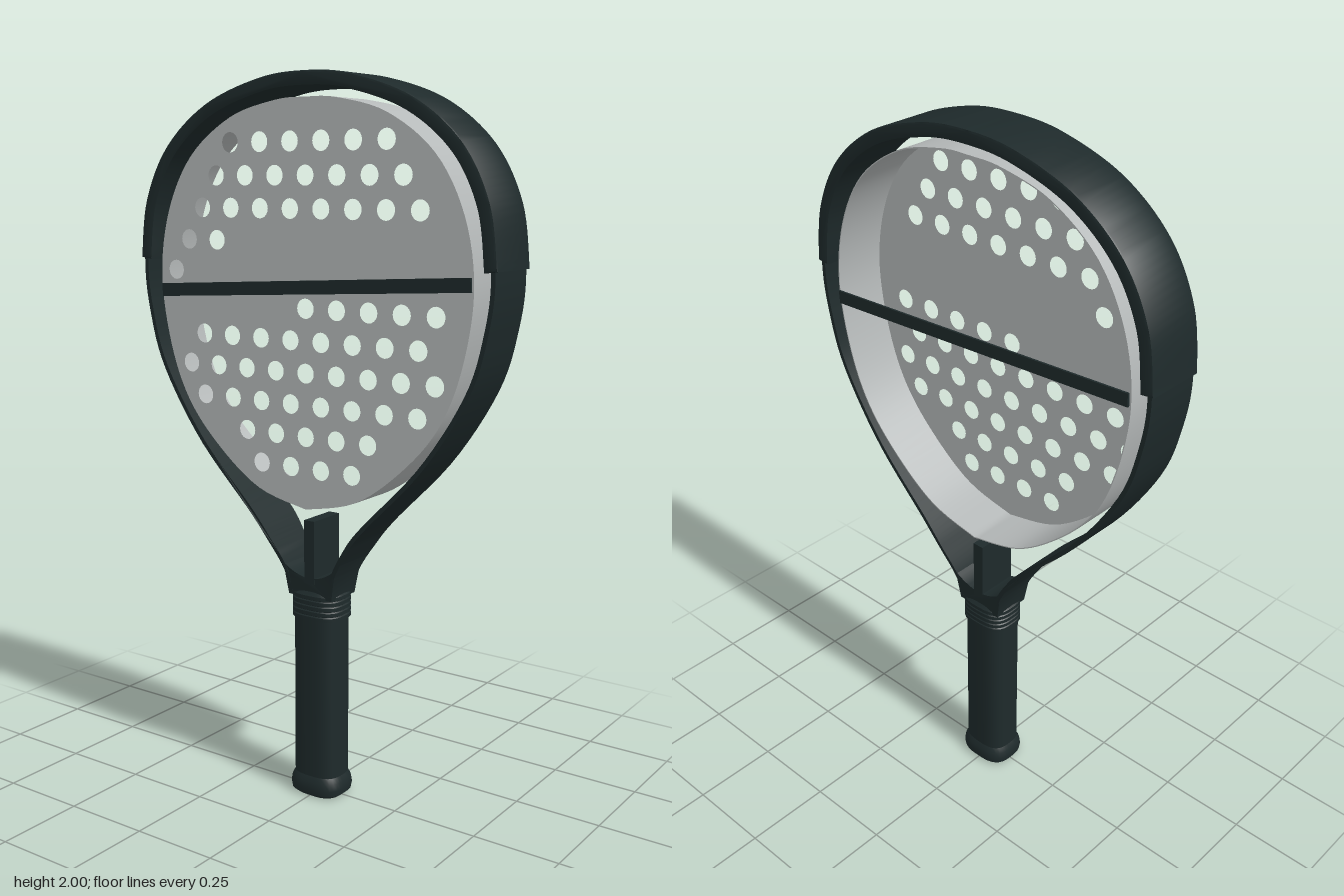
import * as THREE from 'three';
import { toCreasedNormals } from 'three/addons/utils/BufferGeometryUtils.js';

const dark = new THREE.MeshStandardMaterial({ color: 0x1e2a2b });
dark.name = 'dark green black';
const grey = new THREE.MeshStandardMaterial({ color: 0xb6baba, side: THREE.DoubleSide });
grey.name = 'light grey';

const v2 = (p) => new THREE.Vector2(p[0], p[1]);

// Mirrors a right half (bottom to top, ending on x = 0) and smooths it
function mirroredCurve(half, count) {
  const left = half.slice(0, -1).reverse().map(([x, y]) => [-x, y]);
  return new THREE.SplineCurve([...half, ...left].map(v2)).getPoints(count);
}

// Moves an anticlockwise line inward by a distance
function inset(points, d, closed) {
  const n = points.length;
  return points.map((p, i) => {
    const a = closed ? points[(i + n - 1) % n] : points[Math.max(i - 1, 0)];
    const b = closed ? points[(i + 1) % n] : points[Math.min(i + 1, n - 1)];
    const t = b.clone().sub(a).normalize();
    return new THREE.Vector2(p.x - t.y * d, p.y + t.x * d);
  });
}

// Extrudes a shape about z = 0, with half depth given by a rule in y
function slab(shape, halfDepth, bevel = 0) {
  const g = new THREE.ExtrudeGeometry(shape, {
    depth: 2 - 2 * bevel, curveSegments: 20, bevelEnabled: bevel > 0,
    bevelSize: 0.006, bevelOffset: -0.006, bevelThickness: bevel, bevelSegments: 2,
  });
  g.translate(0, 0, -1 + bevel);
  const p = g.attributes.position;
  for (let i = 0; i < p.count; i++) p.setZ(i, p.getZ(i) * halfDepth(p.getY(i)));
  return toCreasedNormals(g, 0.6);
}

// Lathe squared off into a rounded, slightly flattened section
function gripGeometry(profile) {
  const g = new THREE.LatheGeometry(profile.map(v2), 40);
  const p = g.attributes.position;
  for (let i = 0; i < p.count; i++) {
    const x = p.getX(i), z = p.getZ(i), r = Math.hypot(x, z);
    if (r < 1e-6) continue;
    const k = 1 / Math.cbrt(Math.abs(x / r) ** 3 + Math.abs(z / r) ** 3);
    p.setXYZ(i, x * k, p.getY(i), z * k * 0.84);
  }
  return toCreasedNormals(g, 0.6);
}

export function createModel() {
  const model = new THREE.Group();
  model.name = 'padelRacket';
  const add = (name, geometry, material) => {
    const mesh = new THREE.Mesh(geometry, material);
    mesh.name = name;
    model.add(mesh);
    return mesh;
  };
  const taper = (y) => 0.058 + 0.022 * THREE.MathUtils.smoothstep(y, 0.6, 0.8);

  // Thin outer frame
  const rim = mirroredCurve([[0.072, 0.6], [0.085, 0.66], [0.13, 0.735], [0.19, 0.812], [0.37, 1.0],
    [0.5, 1.2], [0.55, 1.36], [0.565, 1.5], [0.545, 1.66], [0.465, 1.8], [0.325, 1.91], [0.15, 1.972], [0, 1.986]], 140);
  add('frame', slab(new THREE.Shape([...rim, ...inset(rim, 0.012).reverse()]), taper), dark);

  // Thicker bumper around the head
  const guard = mirroredCurve([[0.573, 1.51], [0.549, 1.67], [0.47, 1.815], [0.33, 1.925], [0.15, 1.986], [0, 2]], 80);
  add('bumper', slab(new THREE.Shape([...guard, ...inset(guard, 0.038).reverse()]), () => 0.087, 0.06), dark);

  // Perforated hitting plate
  const outline = mirroredCurve([[0, 0.845], [0.16, 0.885], [0.3, 0.985], [0.41, 1.11], [0.475, 1.265],
    [0.505, 1.46], [0.475, 1.64], [0.39, 1.79], [0.25, 1.89], [0.1, 1.93], [0, 1.935]], 120).slice(0, -1);
  const plate = new THREE.Shape(outline);
  // Rows of holes: height, first x, count
  const rows = [[1.825, -0.25, 6], [1.738, -0.3, 7], [1.652, -0.35, 8], [1.565, -0.4, 2], [1.479, -0.45, 1],
    [1.392, 0, 5], [1.305, -0.35, 8], [1.219, -0.4, 9], [1.132, -0.35, 8], [1.046, -0.2, 5], [0.959, -0.15, 4]];
  for (const [y, x0, count] of rows) {
    for (let i = 0; i < count; i++) {
      plate.holes.push(new THREE.Path().absarc(x0 + i * 0.1, y, 0.027, 0, Math.PI * 2, true));
    }
  }
  const plateGeometry = new THREE.ShapeGeometry(plate, 10);
  plateGeometry.translate(0, 0, 0.075);
  add('hittingPlate', plateGeometry, grey);

  // Wall running back from the plate edge, open at the back
  const wall = new THREE.Shape(outline);
  wall.holes.push(new THREE.Path(inset(outline, 0.003, true).reverse()));
  add('plateWall', slab(wall, () => 0.0748), grey);

  // Slanted stripe on each side
  for (const side of [1, -1]) {
    const stripe = add(side > 0 ? 'frontStripe' : 'backStripe', new THREE.BoxGeometry(1.0, 0.036, 0.006), dark);
    stripe.position.set(0, 1.448, side * 0.0785);
    stripe.rotation.z = side * 0.056;
  }

  // Throat joining the frame arms to the handle
  const throat = new THREE.Shape();
  throat.moveTo(-0.072, 0.59);
  throat.lineTo(0.072, 0.59);
  throat.lineTo(0.084, 0.66);
  throat.lineTo(0.127, 0.735);
  throat.quadraticCurveTo(0.08, 0.65, 0, 0.645);
  throat.quadraticCurveTo(-0.08, 0.65, -0.127, 0.735);
  throat.lineTo(-0.084, 0.66);
  add('throat', slab(throat, (y) => taper(y) - 0.001), dark);

  // Short post rising from the throat
  add('throatPost', new THREE.BoxGeometry(0.034, 0.18, 0.12), dark).position.y = 0.72;

  // Handle grip, butt cap and ribbed collar
  add('grip', gripGeometry([[0.072, 0.04], [0.072, 0.54]]), dark);
  add('buttCap', gripGeometry([[0, 0], [0.07, 0], [0.08, 0.008], [0.083, 0.025], [0.08, 0.045], [0.072, 0.06]]), dark);
  const collar = [[0.07, 0.525]];
  for (let i = 0; i < 5; i++) {
    const y = 0.525 + i * 0.015;
    collar.push([0.078, y + 0.002], [0.078, y + 0.012], [0.075, y + 0.015]);
  }
  collar.push([0.066, 0.612], [0, 0.612]);
  add('collar', gripGeometry(collar), dark);

  return model;
}
